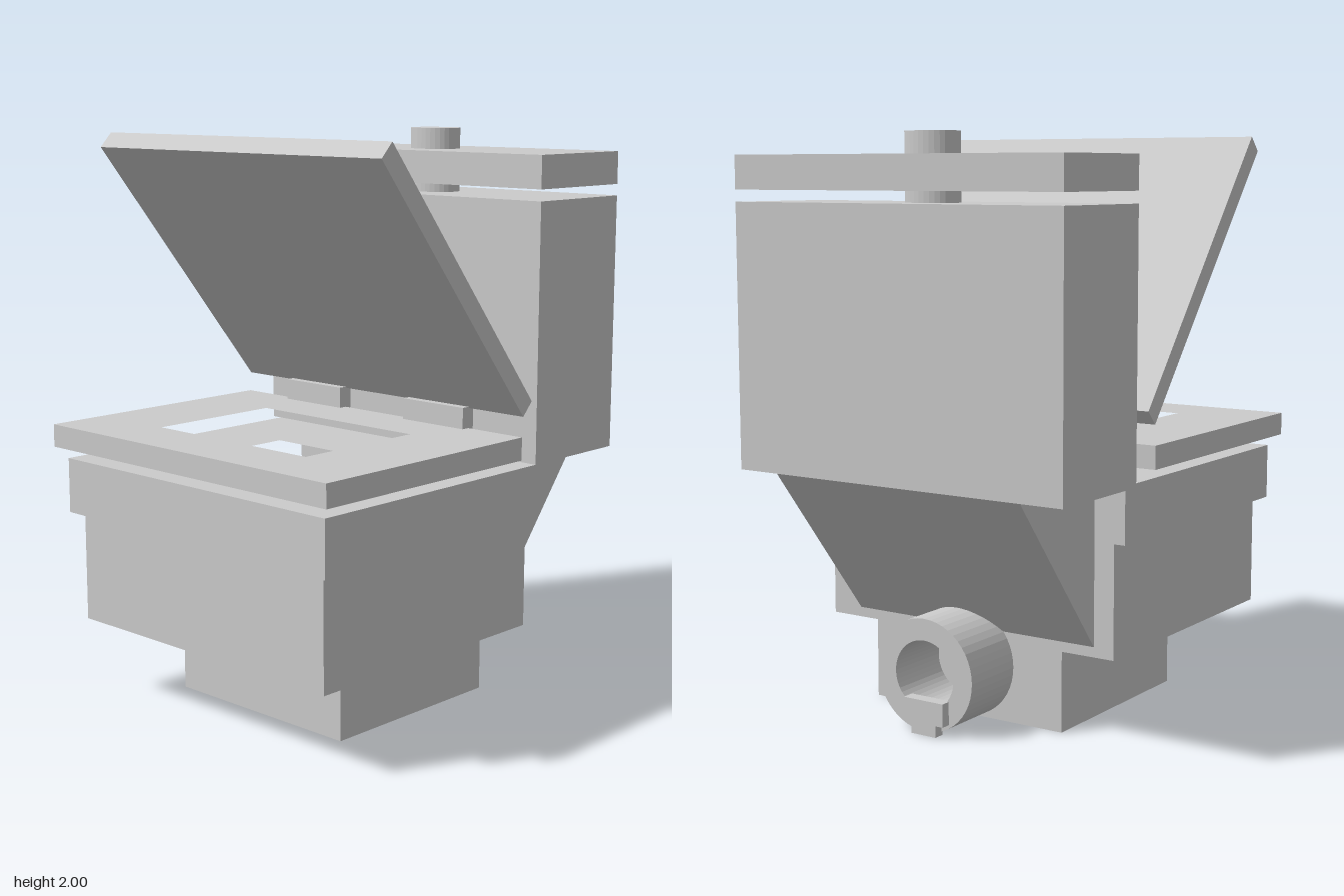
import * as THREE from 'three';

const material = new THREE.MeshStandardMaterial({ color: 0xcccccc, flatShading: true });

export function createModel() {
  const model = new THREE.Group();
  model.name = 'toilet';

  const add = (name, geometry) => {
    const mesh = new THREE.Mesh(geometry, material);
    mesh.name = name;
    model.add(mesh);
    return mesh;
  };

  // Box given by its limits on each axis
  const box = (name, [x0, x1], [y0, y1], [z0, z1]) =>
    add(name, new THREE.BoxGeometry(x1 - x0, y1 - y0, z1 - z0))
      .position.set((x0 + x1) / 2, (y0 + y1) / 2, (z0 + z1) / 2);

  // Side profile of (z, y) points stretched across x
  const prism = (name, points, [x0, x1]) => {
    const shape = new THREE.Shape(points.map(([z, y]) => new THREE.Vector2(z, y)));
    const geometry = new THREE.ExtrudeGeometry(shape, { depth: x1 - x0, bevelEnabled: false });
    geometry.rotateY(-Math.PI / 2);
    add(name, geometry).position.x = x1;
  };

  // Flat slab with a rectangular opening
  const rect = ([x0, x1], [z0, z1]) => [[x0, -z0], [x1, -z0], [x1, -z1], [x0, -z1]]
    .map(([x, y]) => new THREE.Vector2(x, y));
  const frame = (name, xs, [y0, y1], zs, holeX, holeZ) => {
    const shape = new THREE.Shape(rect(xs, zs));
    shape.holes.push(new THREE.Path(rect(holeX, holeZ)));
    const geometry = new THREE.ExtrudeGeometry(shape, { depth: y1 - y0, bevelEnabled: false });
    geometry.rotateX(-Math.PI / 2);
    add(name, geometry).position.y = y0;
  };

  // Stepped bowl
  box('base', [-0.39, 0.39], [0, 0.28], [-0.315, 0.415]);
  box('bowl', [-0.59, 0.585], [0.28, 0.67], [-0.315, 0.695]);
  frame('rim', [-0.63, 0.625], [0.67, 0.865], [-0.315, 0.73], [-0.315, 0.31], [0, 0.51]);
  box('bowlFloor', [-0.315, 0.31], [0.67, 0.71], [0, 0.51]);

  // Seat, hinges and raised lid
  frame('seat', [-0.67, 0.66], [0.905, 0.985], [-0.19, 0.76], [-0.355, 0.35], [0.03, 0.535]);
  for (const x of [-0.435, 0.15]) {
    box('hinge', [x, x + 0.275], [0.98, 1.06], [-0.215, -0.16]);
  }
  prism('lid', [[-0.195, 1.055], [0.52, 1.94], [0.472, 1.99], [-0.24, 1.103]], [-0.67, 0.66]);

  // Tank, its sloped support, cover and oval button
  const tankX = [-0.67, 0.625];
  const tankZ = [-0.755, -0.315];
  prism('tankSupport', [[-0.315, 0.315], [-0.315, 0.865], [-0.755, 0.865]], [-0.515, 0.465]);
  box('tank', tankX, [0.865, 1.77], tankZ);
  box('tankCover', tankX, [1.81, 1.925], tankZ);
  const button = add('flushButton', new THREE.CylinderGeometry(1, 1, 0.23, 32));
  button.scale.set(0.098, 1, 0.079);
  button.position.set(-0.02, 1.885, -0.52);

  // Drain pipe with an open bore
  const ring = new THREE.Shape().absarc(0, 0, 0.195, 0, Math.PI * 2);
  ring.holes.push(new THREE.Path().absarc(0, 0, 0.12, 0, Math.PI * 2));
  const pipe = new THREE.ExtrudeGeometry(ring, { depth: 0.245, bevelEnabled: false, curveSegments: 24 });
  add('drainPipe', pipe).position.set(0, 0.195, -0.56);

  // Small stepped stop at the pipe mouth
  box('pipeStop', [-0.1, 0.06], [0.04, 0.12], [-0.595, -0.55]);
  box('pipeStopFoot', [-0.07, 0.03], [0, 0.045], [-0.595, -0.555]);

  return model;
}
